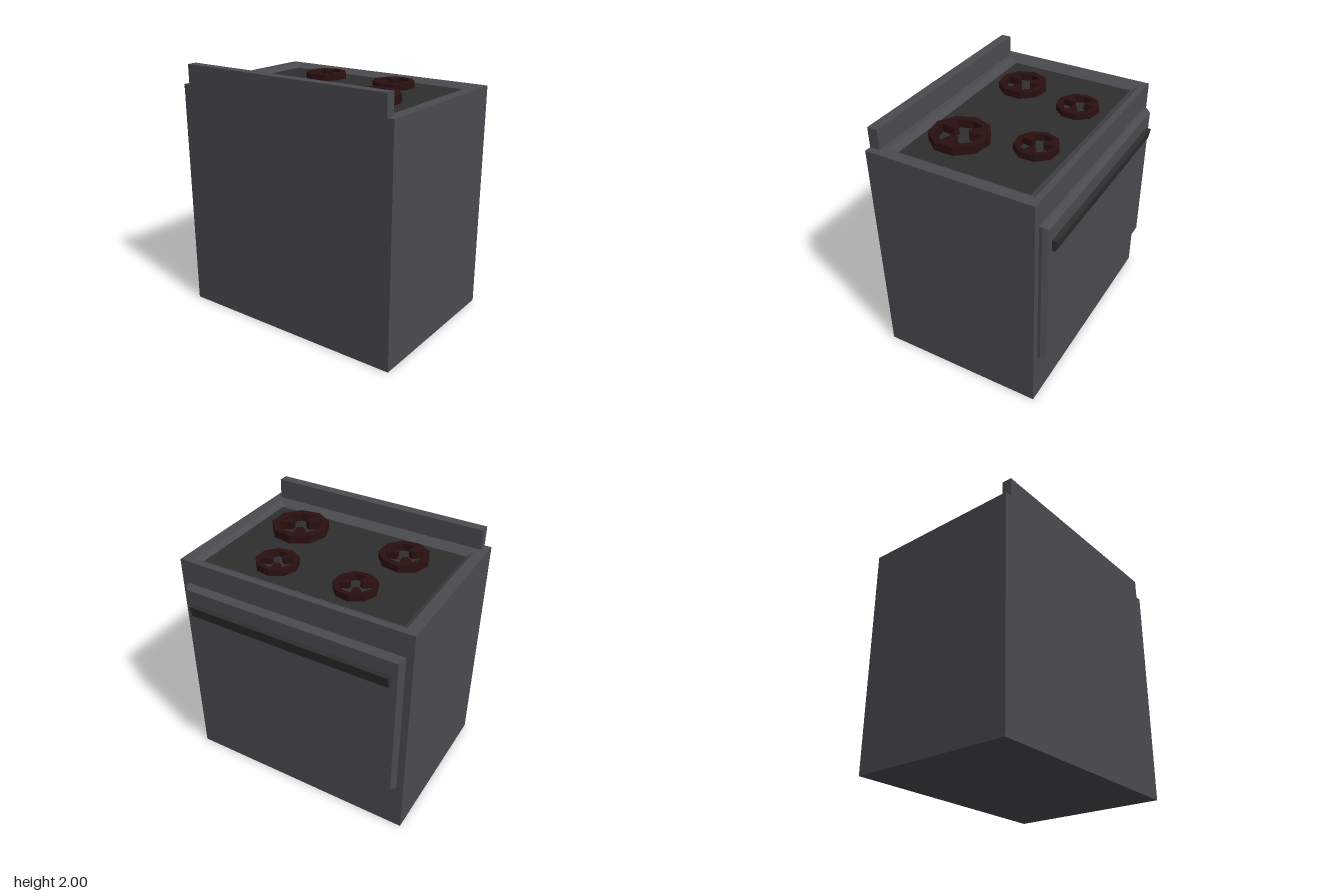
import * as THREE from 'three';

const paint = (color) => new THREE.MeshStandardMaterial({ color, flatShading: true });
const enamel = paint(0x4b4a50);
const glass = paint(0x2e2e2e);
const coil = paint(0x2a1010);

// Joins rectangular rings [x0, x1, z0, z1, y] into a solid, capped at the ends asked for.
function loft(rings, capStart, capEnd) {
  const pos = [];
  const loops = rings.map(([x0, x1, z0, z1, y]) => [[x0, y, z0], [x0, y, z1], [x1, y, z1], [x1, y, z0]]);
  const quad = (a, b, c, d) => pos.push(...a, ...b, ...c, ...a, ...c, ...d);
  for (let i = 0; i + 1 < loops.length; i++) {
    const lo = loops[i], hi = loops[i + 1];
    for (let j = 0; j < 4; j++) {
      const k = (j + 1) % 4;
      quad(lo[j], lo[k], hi[k], hi[j]);
    }
  }
  if (capStart) quad(...[...loops[0]].reverse());
  if (capEnd) quad(...loops[loops.length - 1]);
  const g = new THREE.BufferGeometry();
  g.setAttribute('position', new THREE.Float32BufferAttribute(pos, 3));
  g.computeVertexNormals();
  return g;
}

// Nine-sided ring with three blunt teeth pointing at its centre.
function burnerGeometry(r) {
  const polar = (deg, d, side = 0) => {
    const a = THREE.MathUtils.degToRad(deg);
    return new THREE.Vector2(d * Math.cos(a) - side * Math.sin(a), d * Math.sin(a) + side * Math.cos(a));
  };
  const outer = [], inner = [];
  for (let k = 0; k < 9; k++) {
    const deg = 90 + 40 * k;
    outer.push(polar(deg, r));
    inner.push(polar(deg, 0.75 * r));
    if (k % 3 === 1) inner.push(polar(deg + 20, 0.28 * r, -0.1 * r), polar(deg + 20, 0.28 * r, 0.1 * r));
  }
  const shape = new THREE.Shape(outer);
  shape.holes.push(new THREE.Path(inner));
  return new THREE.ExtrudeGeometry(shape, { depth: 0.01 + 0.25 * r, bevelEnabled: false }).rotateX(-Math.PI / 2);
}

export function createModel() {
  const model = new THREE.Group();
  const add = (name, geometry, material, x = 0, y = 0, z = 0) => {
    const mesh = new THREE.Mesh(geometry, material);
    mesh.name = name;
    mesh.position.set(x, y, z);
    model.add(mesh);
  };

  // Cabinet with a sloped recess in its top
  const floor = [-0.54, 0.51, -0.83, 0.82, 1.81];
  add('cabinet', loft([
    [-0.72, 0.614, -0.96, 0.955, 0],
    [-0.72, 0.614, -0.96, 0.955, 1.84],
    [-0.595, 0.565, -0.87, 0.865, 1.84],
    floor,
  ], true, false), enamel);
  add('cooktop', loft([floor], false, true), glass);

  // Raised panel along the back edge
  add('backPanel', new THREE.BoxGeometry(0.08, 0.17, 1.805), enamel, -0.68, 1.915, -0.002);

  // Burners: x, z, radius
  [[-0.26, -0.452, 0.193], [0.28, -0.34, 0.166], [0.28, 0.317, 0.166], [-0.26, 0.463, 0.228]]
    .forEach(([x, z, r]) => add('burner', burnerGeometry(r), coil, x, 1.808, z));

  // Oven door with chamfered edges, lofted upwards and turned to face +x
  add('ovenDoor', loft([
    [-1.65, -0.425, -0.905, 0.9, 0.6],
    [-1.65, -0.425, -0.905, 0.9, 0.637],
    [-1.63, -0.445, -0.882, 0.88, 0.677],
  ], true, true).rotateZ(-Math.PI / 2), enamel);

  // Door handle: a bar whose front slopes back towards the bottom
  const section = new THREE.Shape([[0.67, 1.425], [0.702, 1.425], [0.718, 1.515], [0.67, 1.515]]
    .map(([x, y]) => new THREE.Vector2(x, y)));
  add('doorHandle', new THREE.ExtrudeGeometry(section, { depth: 1.665, bevelEnabled: false }), glass, 0, 0, -0.83);

  return model;
}
